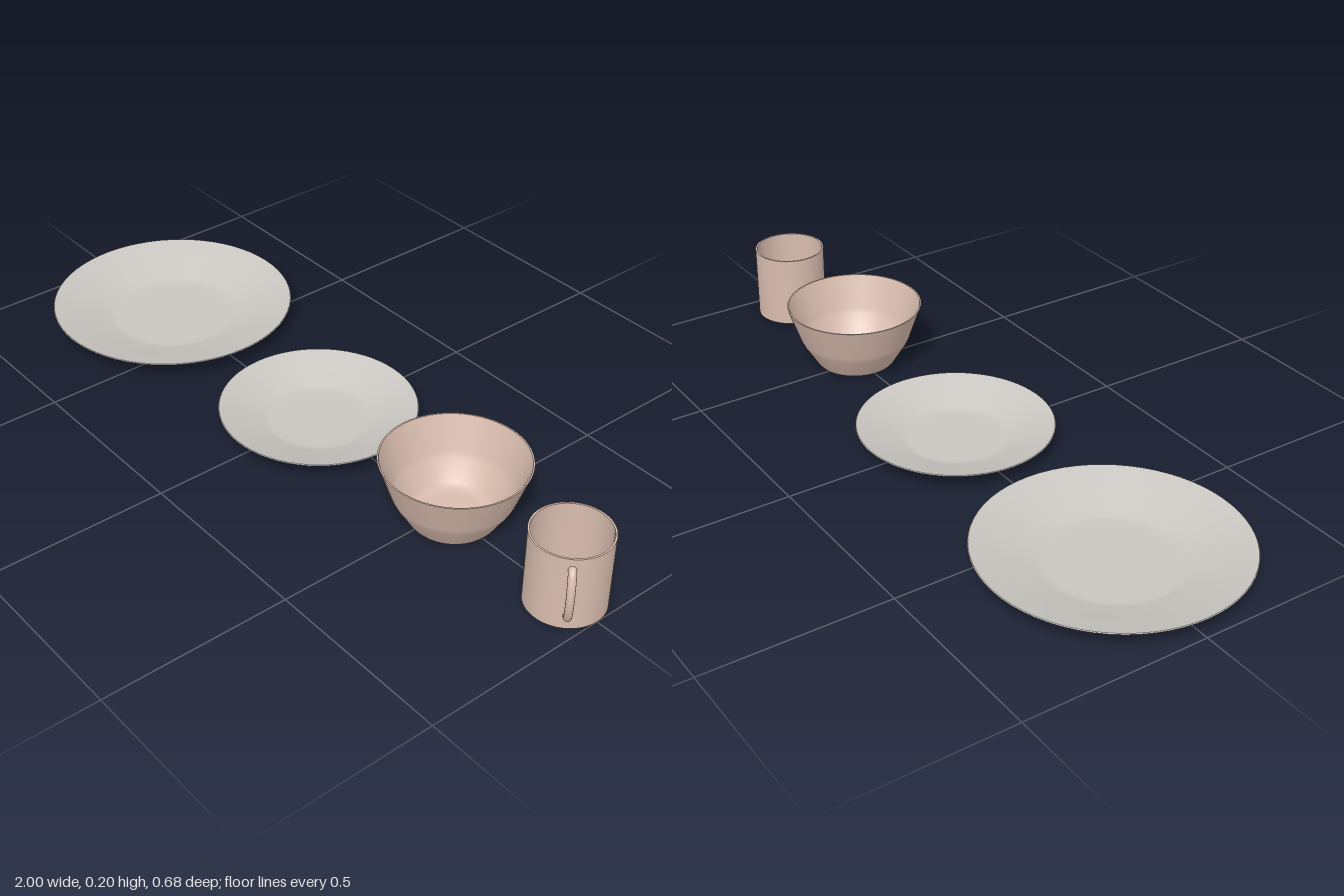
import * as THREE from 'three';

const SEGMENTS = 64;

// Lathe smooth runs separately so that the corners between them stay sharp.
function turned(name, runs, material) {
  const group = new THREE.Group();
  group.name = name;
  for (const [part, points] of Object.entries(runs)) {
    const profile = points.map(([r, y]) => new THREE.Vector2(r, y));
    const mesh = new THREE.Mesh(new THREE.LatheGeometry(profile, SEGMENTS), material);
    mesh.name = part;
    group.add(mesh);
  }
  return group;
}

function underside(radius, material) {
  const mesh = new THREE.Mesh(new THREE.CircleGeometry(radius, SEGMENTS), material);
  mesh.name = 'underside';
  mesh.rotation.x = Math.PI / 2;
  return mesh;
}

// Shallow plate: flat well and a wide sloping rim
function makePlate(name, radius, base, height, material) {
  const t = 0.005;
  const plate = turned(name, {
    outerSlope: [[base, 0], [(base + radius) / 2, height * 0.48], [radius, height - 0.002]],
    rim: [[radius, height - 0.002], [radius - 0.002, height]],
    innerSlope: [[radius - 0.002, height], [(base + radius) / 2, height * 0.48 + t],
      [base + 0.012, t + 0.003], [base - 0.005, t], [base - 0.03, t], [0, t]],
  }, material);
  plate.add(underside(base, material));
  return plate;
}

export function createModel() {
  const stoneware = new THREE.MeshStandardMaterial({ color: 0xc9c6c1 });
  stoneware.name = 'pale grey stoneware';
  const clay = new THREE.MeshStandardMaterial({ color: 0xd8bcae });
  clay.name = 'pink clay';

  const model = new THREE.Group();
  model.name = 'tableware';

  const dinnerPlate = makePlate('dinnerPlate', 0.34, 0.172, 0.055, stoneware);
  dinnerPlate.position.x = -0.66;

  const sidePlate = makePlate('sidePlate', 0.263, 0.132, 0.05, stoneware);
  sidePlate.position.x = 0.005;

  // Deep bowl with a softly bent wall
  const bowl = turned('bowl', {
    outerWall: [[0.1, 0], [0.108, 0.003], [0.115, 0.012], [0.148, 0.066], [0.156, 0.084], [0.188, 0.177]],
    rim: [[0.188, 0.177], [0.184, 0.177]],
    innerWall: [[0.184, 0.177], [0.152, 0.086], [0.144, 0.068], [0.112, 0.016], [0.1, 0.008], [0.08, 0.006], [0, 0.006]],
  }, clay);
  bowl.add(underside(0.1, stoneware));
  bowl.position.x = 0.522;

  // Straight mug
  const mug = turned('mug', {
    outerWall: [[0.1, 0], [0.1, 0.203]],
    rim: [[0.1, 0.203], [0.095, 0.203]],
    innerWall: [[0.095, 0.203], [0.095, 0.006]],
    floor: [[0.095, 0.006], [0, 0.006]],
  }, clay);
  mug.add(underside(0.1, stoneware));
  mug.position.x = 0.9;

  // Bowed handle pointing diagonally to the front left
  const path = new THREE.CatmullRomCurve3([
    [0.095, 0.174], [0.107, 0.172], [0.12, 0.148], [0.127, 0.105],
    [0.12, 0.062], [0.107, 0.04], [0.095, 0.038],
  ].map(([x, y]) => new THREE.Vector3(x, y, 0)));
  const handle = new THREE.Mesh(new THREE.TubeGeometry(path, 40, 0.01, 16), clay);
  handle.name = 'mugHandle';
  handle.rotation.y = -Math.PI / 4;
  mug.add(handle);

  model.add(dinnerPlate, sidePlate, bowl, mug);
  return model;
}
